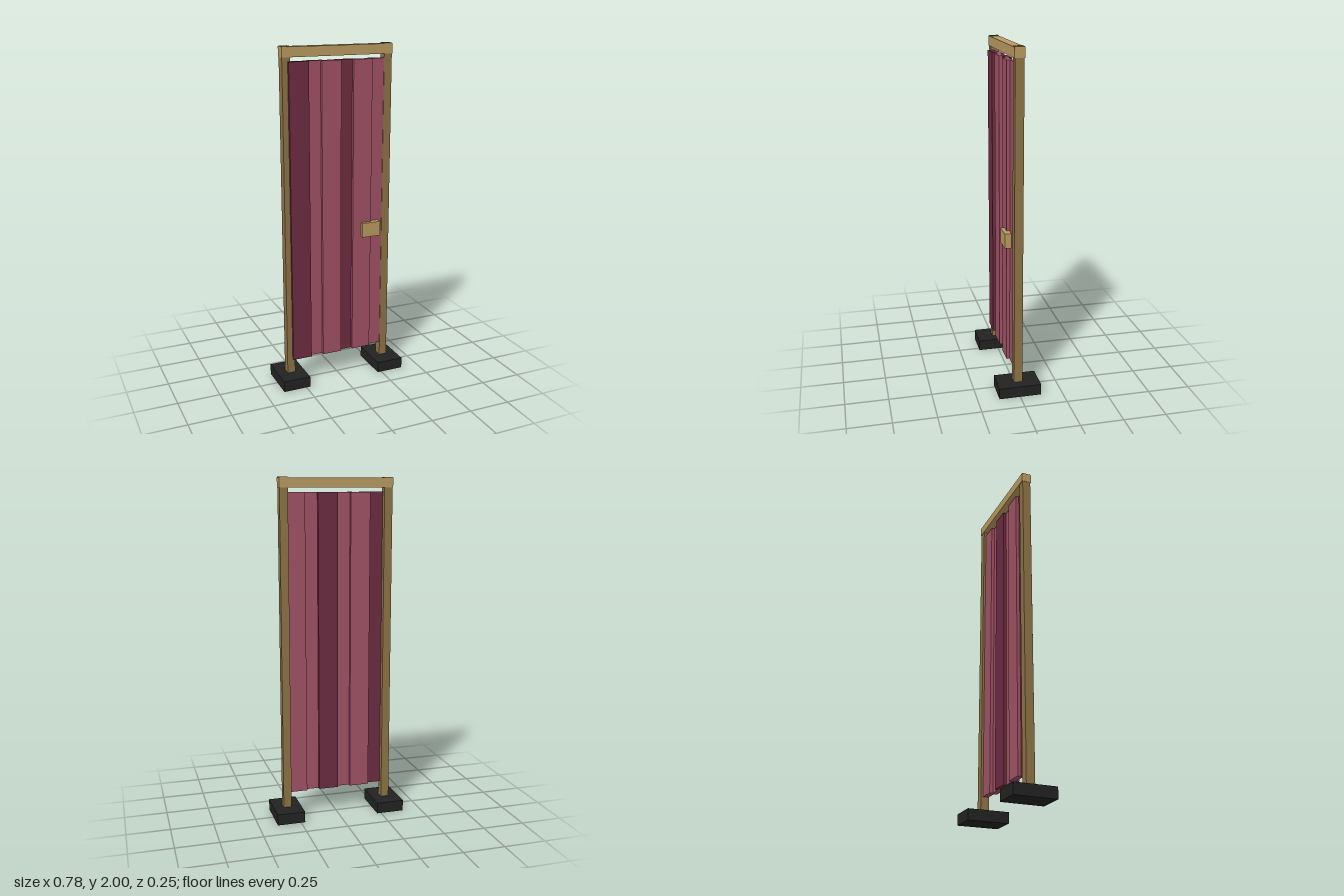
import * as THREE from 'three';

const material = (name, color) => {
  const m = new THREE.MeshStandardMaterial({ color });
  m.name = name;
  return m;
};

export function createModel() {
  const group = new THREE.Group();
  const lightWood = material('light wood', 0xb99a5f);
  const darkWood = material('dark wood', 0x8d7346);
  const rose = material('rose cloth', 0xa05265);
  const plum = material('plum cloth', 0x6c2c42);
  const black = material('black base', 0x222222);

  // Box given by its lower and upper limits on each axis
  const box = (name, mat, [x0, x1], [y0, y1], [z0, z1]) => {
    const mesh = new THREE.Mesh(new THREE.BoxGeometry(x1 - x0, y1 - y0, z1 - z0), mat);
    mesh.position.set((x0 + x1) / 2, (y0 + y1) / 2, (z0 + z1) / 2);
    mesh.name = name;
    group.add(mesh);
  };

  // Feet and posts on both sides
  for (const [side, s] of [['left', 1], ['right', -1]]) {
    const span = (a, b) => (s > 0 ? [a, b] : [-b, -a]);
    box(side + 'Foot', black, span(0.226, 0.391), [0, 0.065], [-0.124, 0.124]);
    box(side + 'Post', darkWood, span(0.284, 0.332), [0.001, 2], [-0.025, 0.025]);
  }

  // Top beam
  box('topBeam', lightWood, [-0.334, 0.334], [1.94, 1.996], [-0.029, 0.029]);

  // Overlapping cloth panels, alternately in front and behind
  for (let i = 0; i < 6; i++) {
    const x = -0.2405 + i * 0.0965;
    const z = i % 2 ? 0.005 : 0.024;
    box('clothPanel' + (i + 1), i % 3 ? rose : plum,
      [x - 0.0585, x + 0.0585], [0.153, 1.917], [z - 0.017, z + 0.017]);
  }

  // Pull plate
  box('handle', lightWood, [0.141, 0.257], [0.875, 0.962], [0.025, 0.063]);

  return group;
}
